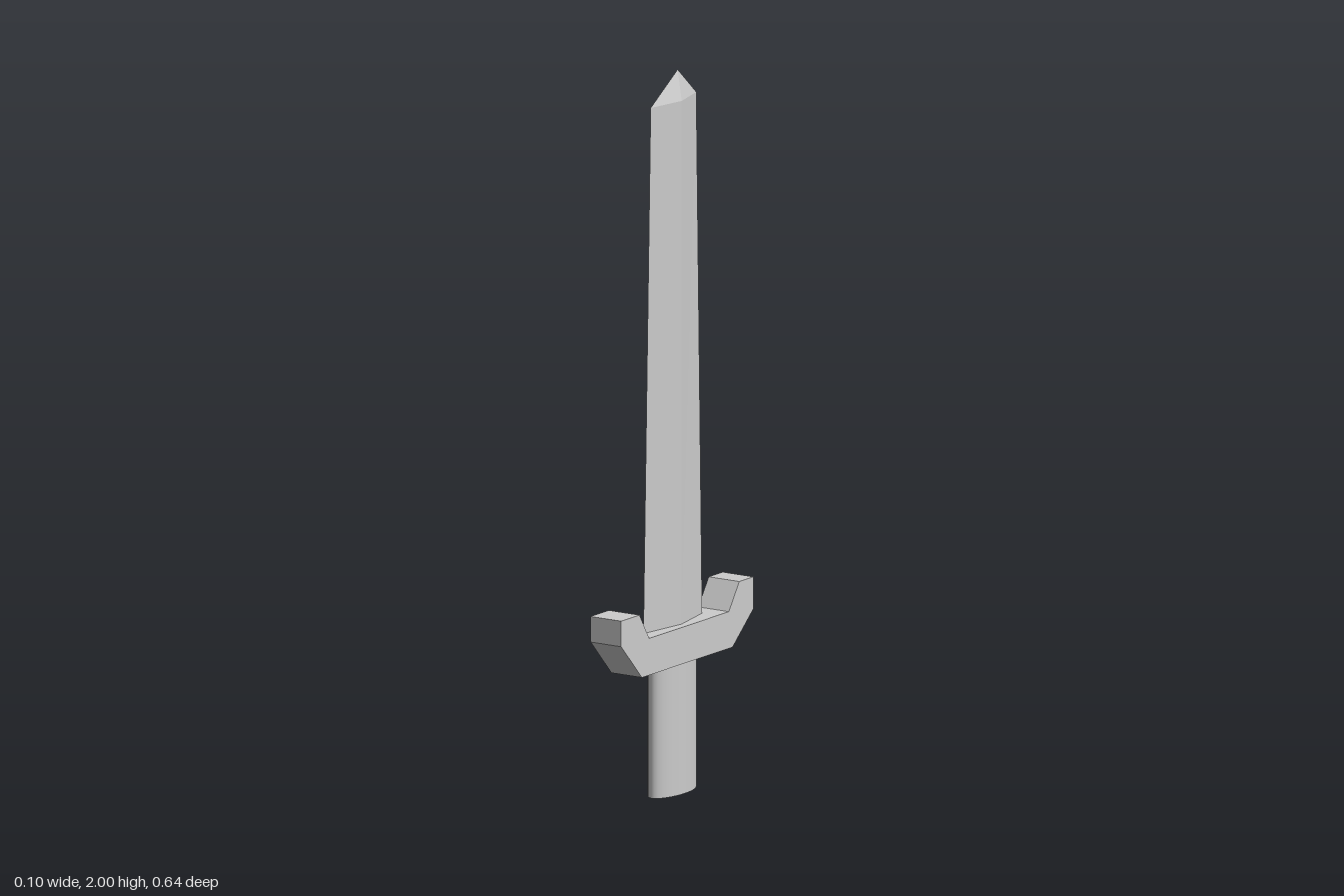
import * as THREE from 'three';

const material = () => new THREE.MeshStandardMaterial({ color: 0xcccccc });

// Closed hull through rings of four corners, ending in a single tip point
function makeBlade() {
  const ring = (y, zFront, zBack) => [
    [0.005, y, zFront], [0.027, y, -0.007], [0, y, zBack], [-0.026, y, -0.004],
  ];
  const base = ring(0.46, 0.145, -0.145);
  const shoulder = ring(1.92, 0.11, -0.117);
  const tip = [0, 2, -0.027];
  const pos = [];
  const tri = (...corners) => corners.forEach((c) => pos.push(...c));
  for (let i = 0; i < 4; i++) {
    const j = (i + 1) % 4;
    tri(base[i], base[j], shoulder[j]);
    tri(base[i], shoulder[j], shoulder[i]);
    tri(shoulder[i], shoulder[j], tip);
  }
  tri(base[0], base[2], base[1]);
  tri(base[0], base[3], base[2]);
  const geometry = new THREE.BufferGeometry();
  geometry.setAttribute('position', new THREE.Float32BufferAttribute(pos, 3));
  geometry.computeVertexNormals();
  return geometry;
}

// Guard outline in the z-y plane, with both ends turned up
function makeGuard() {
  const outline = [
    [0.318, 0.541], [0.318, 0.47], [0.218, 0.365], [-0.218, 0.365], [-0.318, 0.452],
    [-0.318, 0.541], [-0.25, 0.541], [-0.2, 0.467], [0.183, 0.467], [0.23, 0.541],
  ];
  const shape = new THREE.Shape(outline.map(([z, y]) => new THREE.Vector2(z, y)));
  const geometry = new THREE.ExtrudeGeometry(shape, { depth: 0.1, bevelEnabled: false });
  return geometry.translate(0, 0, -0.05).rotateY(-Math.PI / 2);
}

// Oval grip
function makeHandle() {
  const height = 0.367;
  return new THREE.CylinderGeometry(1, 1, height, 32)
    .scale(0.042, 1, 0.099)
    .translate(0, height / 2, 0);
}

export function createModel() {
  const model = new THREE.Group();
  model.name = 'sword';
  const parts = { blade: makeBlade(), guard: makeGuard(), handle: makeHandle() };
  for (const [name, geometry] of Object.entries(parts)) {
    const mesh = new THREE.Mesh(geometry, material());
    mesh.name = name;
    model.add(mesh);
  }
  return model;
}
